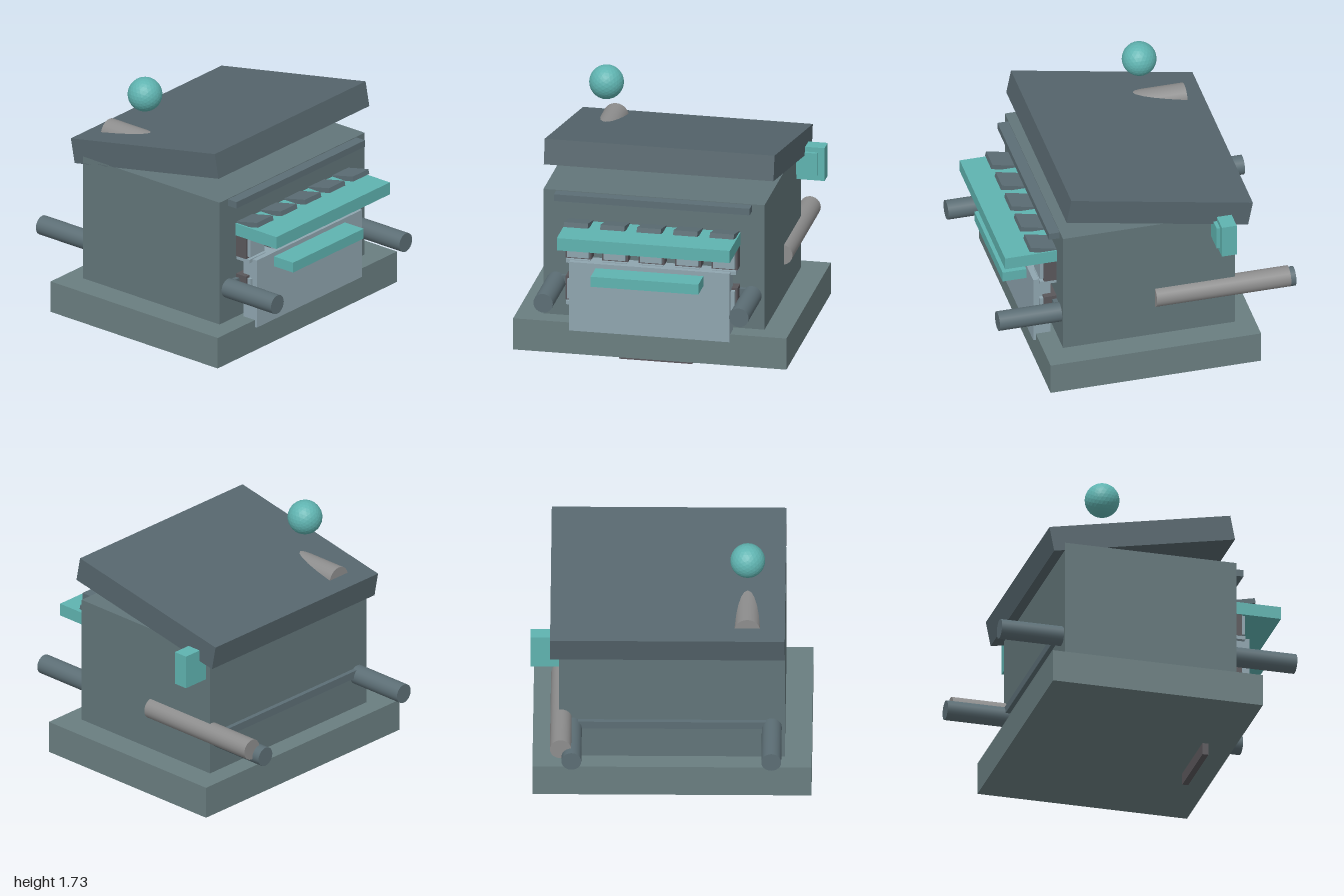
import * as THREE from 'three';

const mat = (color, flatShading = false) => new THREE.MeshStandardMaterial({ color, flatShading });
const MAT = {
  body: mat(0x627579), base: mat(0x6a7e80), lid: mat(0x56666d), steel: mat(0x5c6e75),
  teal: mat(0x5fb3b0), pale: mat(0x8fa5af), dark: mat(0x5a575b), grey: mat(0x8d8d8d),
  knob: mat(0x5fb3b0, true),
};

export function createModel() {
  const model = new THREE.Group();
  model.name = 'machine';

  const add = (name, geometry, material, x, y, z, parent = model) => {
    const mesh = new THREE.Mesh(geometry, material);
    mesh.name = name;
    mesh.position.set(x, y, z);
    parent.add(mesh);
    return mesh;
  };
  // box given by its [min, max] range on each axis
  const box = (name, material, [x0, x1], [y0, y1], [z0, z1], parent) =>
    add(name, new THREE.BoxGeometry(x1 - x0, y1 - y0, z1 - z0), material,
      (x0 + x1) / 2, (y0 + y1) / 2, (z0 + z1) / 2, parent);
  // round bar lying along z
  const rod = (name, material, r, x, y, [z0, z1]) =>
    add(name, new THREE.CylinderGeometry(r, r, z1 - z0, 24).rotateX(Math.PI / 2),
      material, x, y, (z0 + z1) / 2);

  // main housing
  box('base', MAT.base, [-0.92, 0.9], [0.08, 0.297], [-0.71, 0.71]);
  box('body', MAT.body, [-0.745, 0.727], [0.297, 1.165], [-0.58, 0.58]);
  box('frontFoot', MAT.dark, [-0.253, 0.235], [0, 0.09], [0.49, 0.53]);

  // raised, tilted lid
  const lid = add('lid', new THREE.BoxGeometry(1.53, 0.17, 1.247), MAT.lid, 0.02, 1.299, -0.057);
  lid.rotation.x = -0.19;

  // knob and the round bar set into the lid
  add('knob', new THREE.IcosahedronGeometry(0.114, 4), MAT.knob, -0.5, 1.618, -0.26);
  rod('lidBar', MAT.grey, 0.085, -0.5, 1.27, [-0.565, 0.04]);

  // carrying rods and the cross bar that joins them
  rod('rightRod', MAT.steel, 0.065, -0.66, 0.53, [-1, 1]);
  rod('leftRod', MAT.steel, 0.065, 0.643, 0.53, [-1, 1]);
  box('crossBar', MAT.steel, [-0.66, 0.643], [0.53, 0.582], [-0.61, 0.61]);
  rod('sideCylinder', MAT.grey, 0.07, 0.714, 0.588, [-0.945, -0.04]);

  // side latch
  box('latchPlate', MAT.teal, [0.7, 0.914], [0.967, 1.196], [-0.542, -0.442]);
  box('latchPad', MAT.teal, [0.7, 0.868], [1.006, 1.163], [-0.5, -0.419]);

  // front trim, shelf and access panel
  box('topTrim', MAT.steel, [-0.66, 0.643], [1.115, 1.161], [0.57, 0.653]);
  box('shelf', MAT.teal, [-0.584, 0.568], [0.879, 0.964], [0.57, 0.928]);
  box('frontPanel', MAT.pale, [-0.543, 0.525], [0.248, 0.726], [0.612, 0.727]);
  box('panelHandle', MAT.teal, [-0.367, 0.35], [0.626, 0.696], [0.57, 0.887]);

  // five columns: a tilted key on top and two drawers below
  for (let i = 0; i < 5; i++) {
    const x = -0.493 + i * 0.243;
    const key = add('key', new THREE.BoxGeometry(0.16, 0.033, 0.2), MAT.steel, x, 0.974, 0.659);
    key.rotation.x = -0.22;
    for (const y of [0.44, 0.73]) {
      const drawer = new THREE.Group();
      drawer.name = 'drawer';
      model.add(drawer);
      box('drawerBox', MAT.dark, [x - 0.086, x + 0.086], [y, y + 0.165], [0.57, 0.665], drawer);
      box('drawerFront', MAT.pale, [x - 0.072, x + 0.072], [y + 0.015, y + 0.15], [0.65, 0.69], drawer);
      box('drawerLip', MAT.pale, [x - 0.08, x + 0.08], [y - 0.025, y], [0.57, 0.69], drawer);
    }
  }
  return model;
}
